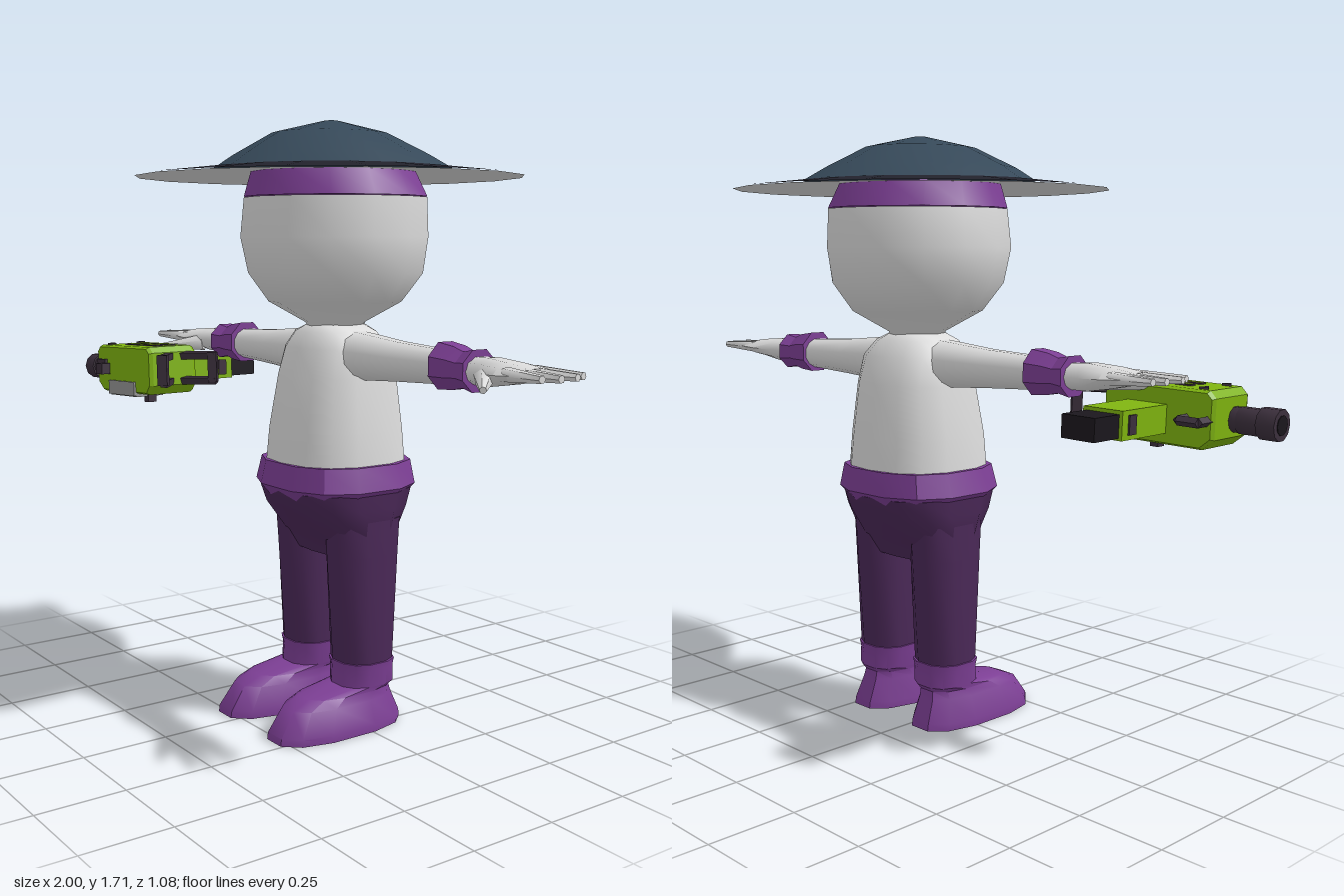
import * as THREE from 'three';
import { toCreasedNormals } from 'three/addons/utils/BufferGeometryUtils.js';

const mat = (name, color, extra = {}) => {
  const m = new THREE.MeshStandardMaterial({ color, ...extra });
  m.name = name;
  return m;
};

// Stacked rounded cross-sections [y, cx, cz, rx, rz], bottom to top, capped.
function loft(sections, n = 12, crease = 0.8, power = 1) {
  const pos = [], idx = [];
  const sq = (v) => Math.sign(v) * Math.abs(v) ** power;
  for (const [y, cx, cz, rx, rz] of sections)
    for (let j = 0; j < n; j++) {
      const a = ((j + 0.5) / n) * Math.PI * 2;
      pos.push(cx + rx * sq(Math.cos(a)), y, cz + rz * sq(Math.sin(a)));
    }
  const last = sections.length - 1;
  for (let k = 0; k < last; k++)
    for (let j = 0; j < n; j++) {
      const a = k * n + j, b = k * n + ((j + 1) % n), c = b + n, d = a + n;
      idx.push(a, d, c, a, c, b);
    }
  const bottom = pos.length / 3, top = bottom + 1;
  for (const s of [sections[0], sections[last]]) pos.push(s[1], s[0], s[2]);
  for (let j = 0; j < n; j++) {
    const i = (j + 1) % n;
    idx.push(bottom, j, i, top, last * n + i, last * n + j);
  }
  const g = new THREE.BufferGeometry();
  g.setAttribute('position', new THREE.Float32BufferAttribute(pos, 3));
  g.setIndex(idx);
  return toCreasedNormals(g, crease);
}

export function createModel() {
  const skin = mat('pale body', 0xdcdcdc);
  const purple = mat('purple cloth', 0x7d3f95);
  const plum = mat('dark plum cloth', 0x4a2857);
  const slate = mat('slate crown', 0x364959);
  const navy = mat('dark brim', 0x22222c);
  const green = mat('green shell', 0x7fb410);
  const lime = mat('lime slots', 0xa9d625);
  const gunDark = mat('dark gun metal', 0x3c303d);
  const black = mat('black grip', 0x1b171d);
  const grey = mat('grey plate', 0x949494);

  const root = new THREE.Group();
  const CX = 0.08;
  const add = (parent, name, geo, material, x = 0, y = 0, z = 0) => {
    const m = new THREE.Mesh(geo, material);
    m.name = name;
    m.position.set(x, y, z);
    parent.add(m);
    return m;
  };
  // Tapered rod between two points
  const rod = (parent, name, material, from, to, r0, r1, sides = 6) => {
    const a = new THREE.Vector3(...from), b = new THREE.Vector3(...to);
    const dir = b.clone().sub(a);
    const g = toCreasedNormals(new THREE.CylinderGeometry(r1, r0, dir.length(), sides), 1.1);
    const m = add(parent, name, g, material, ...a.clone().add(b).multiplyScalar(0.5).toArray());
    m.quaternion.setFromUnitVectors(new THREE.Vector3(0, 1, 0), dir.normalize());
    return m;
  };
  const box = (parent, name, material, w, h, d, x, y, z) =>
    add(parent, name, new THREE.BoxGeometry(w, h, d), material, x, y, z);

  const person = new THREE.Group();
  person.name = 'figure';
  person.position.x = CX;
  root.add(person);

  // Head and headband
  add(person, 'head', loft([
    [1.11, 0, -0.03, 0.06, 0.07], [1.15, 0, -0.03, 0.08, 0.09], [1.21, 0, -0.03, 0.19, 0.195],
    [1.29, 0, -0.03, 0.255, 0.25], [1.39, -0.005, -0.03, 0.27, 0.27], [1.5, 0, -0.03, 0.262, 0.262],
  ], 14, 1.2), skin);
  add(person, 'headband', loft([
    [1.502, 0, -0.03, 0.262, 0.262], [1.572, -0.005, -0.025, 0.235, 0.235],
  ], 14), purple);

  // Wide hat: brim, lighter underside, low crown
  add(person, 'hatBrim', new THREE.LatheGeometry(
    [[0.545, 1.557], [0.32, 1.582]].map((p) => new THREE.Vector2(...p)), 17), navy, 0.01);
  add(person, 'hatUnderside', new THREE.LatheGeometry(
    [[0.2, 1.572], [0.545, 1.555]].map((p) => new THREE.Vector2(...p)), 17), skin, 0.01);
  add(person, 'hatCrown', loft([
    [1.578, 0, -0.02, 0.335, 0.34], [1.615, 0, -0.015, 0.275, 0.28],
    [1.675, 0.015, 0, 0.15, 0.17], [1.708, 0.03, 0.01, 0.02, 0.02],
  ], 14, 1.2), slate);

  // Torso
  add(person, 'torso', loft([
    [0.7, 0, -0.03, 0.195, 0.195], [0.85, 0, -0.03, 0.187, 0.18], [1.0, 0, -0.035, 0.165, 0.16],
    [1.08, 0, -0.035, 0.155, 0.135], [1.125, 0, -0.03, 0.12, 0.105], [1.15, 0, -0.03, 0.06, 0.075],
  ], 14, 1.2, 0.8), skin);

  // Belt, hips
  add(person, 'belt', loft([
    [0.635, 0, -0.03, 0.17, 0.17], [0.69, 0, -0.028, 0.225, 0.212], [0.758, 0, -0.03, 0.208, 0.2],
  ], 12, 0.5, 0.8), purple);
  add(person, 'hips', loft([
    [0.49, 0, -0.035, 0.16, 0.09], [0.54, 0, -0.035, 0.203, 0.112],
    [0.63, 0, -0.03, 0.207, 0.18], [0.68, 0, -0.03, 0.21, 0.2],
  ], 14, 1, 0.75), plum);

  for (const s of [1, -1]) {
    const side = s > 0 ? 'left' : 'right';
    // Leg and boot
    add(person, side + 'Leg', loft([
      [0.16, s * 0.123, -0.035, 0.081, 0.083], [0.5, s * 0.123, -0.035, 0.081, 0.107],
      [0.6, s * 0.123, -0.035, 0.081, 0.115],
    ], 12, 1, 0.8), plum);
    add(person, side + 'Boot', loft([
      [0, s * 0.13, 0.065, 0.1, 0.215], [0.02, s * 0.13, 0.065, 0.1, 0.212],
      [0.085, s * 0.127, 0.055, 0.082, 0.175], [0.108, s * 0.125, 0.03, 0.075, 0.145],
      [0.122, s * 0.124, -0.035, 0.079, 0.09], [0.17, s * 0.123, -0.035, 0.083, 0.086],
      [0.19, s * 0.123, -0.035, 0.087, 0.09],
    ], 12, 0.7, 0.8), purple);

    // Arm, cuff and palm run outward along x
    const outward = (sections, n, crease, power) =>
      loft(sections.map(([x, y, z, ry, rz]) => [x, -s * y, z, ry, rz]), n, crease, power)
        .rotateZ(-s * Math.PI / 2);
    add(person, side + 'Arm', outward([
      [0.06, 1.06, -0.03, 0.075, 0.08], [0.16, 1.06, -0.03, 0.066, 0.075],
      [0.3, 1.058, -0.03, 0.055, 0.06], [0.54, 1.058, -0.03, 0.043, 0.045],
    ], 12, 1.2), skin);
    add(person, side + 'Cuff', outward([
      [0.475, 1.062, -0.03, 0.066, 0.062], [0.53, 1.06, -0.03, 0.06, 0.056],
      [0.565, 1.058, -0.03, 0.05, 0.05], [0.605, 1.058, -0.03, 0.058, 0.06],
    ], 8, 0.4), purple);
    add(person, side + 'Palm', outward([
      [0.58, 1.058, -0.03, 0.036, 0.038], [0.66, 1.06, -0.025, 0.038, 0.06],
      [0.74, 1.063, -0.022, 0.028, 0.075], [0.81, 1.066, -0.022, 0.015, 0.07],
    ], 10, 1.2), skin);
    // Four spread fingers and a thumb
    [[-0.072, -0.085, 0.9], [-0.04, -0.05, 0.915], [-0.006, 0.008, 0.92], [0.028, 0.05, 0.9]]
      .forEach(([z0, z1, x1], i) => rod(person, side + 'Finger' + (i + 1), skin,
        [s * 0.76, 1.066, z0], [s * x1, 1.067, z1], 0.019, 0.01));
    rod(person, side + 'Thumb', skin, [s * 0.67, 1.05, 0.015], [s * 0.775, 1.035, 0.115], 0.027, 0.009);
  }

  // Blaster, barrel pointing to -x
  const gun = new THREE.Group();
  gun.name = 'blaster';
  gun.position.set(-0.7, 0.965, 0.17);
  gun.rotation.set(0, 0.06, 0.035);
  root.add(gun);
  const shape = new THREE.Shape();
  [[-0.16, -0.045], [-0.13, -0.07], [0.14, -0.07], [0.16, -0.045], [0.16, 0.055], [0.145, 0.07],
    [-0.145, 0.07], [-0.16, 0.055]].forEach(([x, y], i) => (i ? shape.lineTo(x, y) : shape.moveTo(x, y)));
  add(gun, 'shell', new THREE.ExtrudeGeometry(shape, {
    depth: 0.15, bevelThickness: 0.012, bevelSize: 0.006, bevelSegments: 1,
  }), green, 0, 0, -0.075);
  for (const z of [-0.025, 0.025]) {
    box(gun, 'slotRim', gunDark, 0.19, 0.006, 0.024, 0.03, 0.077, z);
    box(gun, 'slot', lime, 0.18, 0.006, 0.015, 0.03, 0.079, z);
  }
  // Small bolts and side fittings
  for (const z of [-0.055, 0.055])
    add(gun, 'bolt', new THREE.CylinderGeometry(0.016, 0.016, 0.008, 3), gunDark, -0.12, 0.078, z);
  box(gun, 'frontNotch', gunDark, 0.05, 0.03, 0.012, -0.125, 0.015, 0.09);
  box(gun, 'sideKnob', gunDark, 0.04, 0.035, 0.03, -0.1, 0.0, 0.105);
  box(gun, 'greyPlate', grey, 0.16, 0.045, 0.012, -0.005, -0.06, 0.088);
  box(gun, 'bottomPlate', grey, 0.16, 0.012, 0.1, -0.005, -0.08, 0.035);
  box(gun, 'trigger', gunDark, 0.025, 0.04, 0.03, 0.07, -0.085, 0.03);
  // Muzzle in stepped rings
  for (const [x0, x1, r] of [[-0.15, -0.19, 0.034], [-0.185, -0.25, 0.036], [-0.245, -0.297, 0.042]])
    rod(gun, 'muzzle', gunDark, [x0, -0.002, 0.02], [x1, -0.002, 0.02], r, r, 10);
  rod(gun, 'muzzleBore', black, [-0.296, -0.002, 0.02], [-0.299, -0.002, 0.02], 0.026, 0.026, 10);
  // Side magazine toward the back
  box(gun, 'magazine', green, 0.12, 0.075, 0.2, 0.03, -0.008, -0.18);
  box(gun, 'magazineBand', gunDark, 0.13, 0.05, 0.03, 0.03, -0.008, -0.24);
  box(gun, 'magazineEnd', black, 0.1, 0.06, 0.1, 0.03, -0.01, -0.33);
  // Front carrying loop
  const loop = [[-0.09, 0, -0.08], [-0.09, 0, -0.13], [-0.15, 0, -0.13], [-0.15, 0, -0.07]];
  for (let i = 0; i < 3; i++) rod(gun, 'carryLoop', gunDark, loop[i], loop[i + 1], 0.013, 0.013, 4);
  // Forked rear stock
  const stock = (a, b, r = 0.015) => rod(gun, 'stock', gunDark, a, b, r, r, 4);
  for (const y of [0.045, -0.035]) {
    stock([0.15, y, -0.03], [0.26, y, -0.1]);
    stock([0.15, y, 0.0], [0.25, y, 0.09]);
  }
  stock([0.25, -0.04, -0.095], [0.25, 0.055, -0.095], 0.02);
  stock([0.24, -0.04, 0.085], [0.24, 0.055, 0.085], 0.022);

  return root;
}
